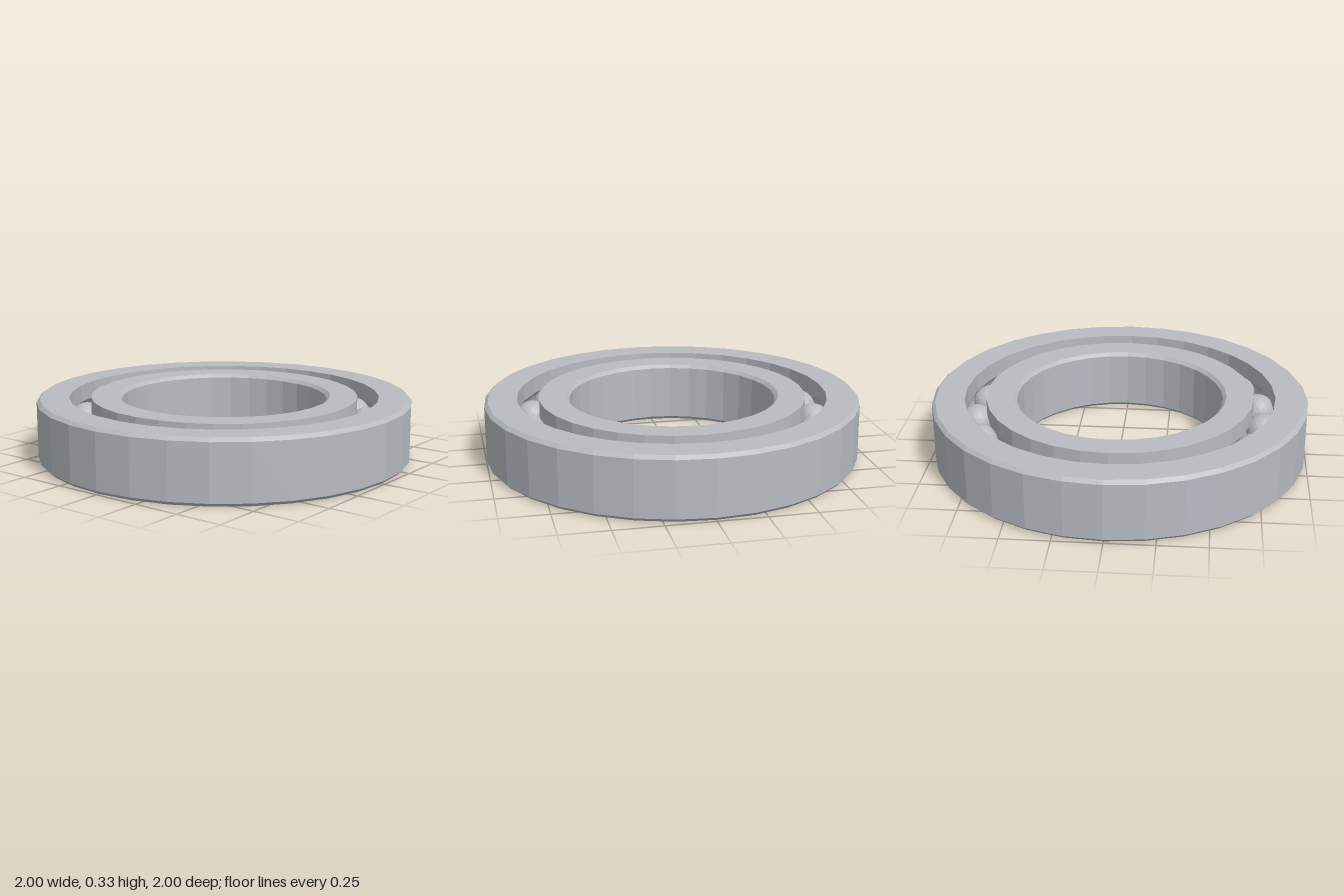
import * as THREE from 'three';

const HEIGHT = 0.33, MID = HEIGHT / 2, SIDES = 32;
const OUTER = 1, BORE = 0.55, CHAMFER = 0.018;
const OUTER_LIP = 0.827, INNER_LIP = 0.713;
const PITCH = 0.77, BALL = 0.09, BALLS = 19;

// Gives every triangle its own normal for a faceted look
function faceted(geometry) {
  const flat = geometry.index ? geometry.toNonIndexed() : geometry;
  flat.computeVertexNormals();
  return flat;
}

// Half-circle race cut into a ring wall at the given radius; dir is +1 or -1 in height
function groove(lip, dir) {
  const r = BALL + 0.003;
  const offset = lip - PITCH;
  const half = Math.acos(Math.abs(offset) / r);
  const points = [];
  for (let i = 0; i <= 8; i++) {
    const a = dir * half * (i / 4 - 1);
    points.push([PITCH + Math.sign(offset) * r * Math.cos(a), MID + r * Math.sin(a)]);
  }
  return points;
}

// Turns a closed, counter-clockwise [radius, height] profile
function ring(name, profile, material) {
  const points = [...profile, profile[0]].map(([r, y]) => new THREE.Vector2(r, y));
  const mesh = new THREE.Mesh(faceted(new THREE.LatheGeometry(points, SIDES)), material);
  mesh.name = name;
  return mesh;
}

export function createModel() {
  const model = new THREE.Group();
  model.name = 'ballBearing';
  const steel = new THREE.MeshStandardMaterial({ color: 0xb8bcc2 });
  steel.name = 'steel';

  // Outer ring, chamfered on its outside edges
  model.add(ring('outerRing', [
    [OUTER_LIP, 0], [OUTER - CHAMFER, 0], [OUTER, CHAMFER],
    [OUTER, HEIGHT - CHAMFER], [OUTER - CHAMFER, HEIGHT], [OUTER_LIP, HEIGHT],
    ...groove(OUTER_LIP, -1),
  ], steel));

  // Inner ring, chamfered around the bore
  model.add(ring('innerRing', [
    [BORE + CHAMFER, 0], [INNER_LIP, 0],
    ...groove(INNER_LIP, 1),
    [INNER_LIP, HEIGHT], [BORE + CHAMFER, HEIGHT],
    [BORE, HEIGHT - CHAMFER], [BORE, CHAMFER],
  ], steel));

  // Balls spaced evenly in the race
  const balls = new THREE.Group();
  balls.name = 'balls';
  const ballGeometry = faceted(new THREE.IcosahedronGeometry(BALL, 3));
  for (let i = 0; i < BALLS; i++) {
    const a = (i / BALLS) * Math.PI * 2;
    const ball = new THREE.Mesh(ballGeometry, steel);
    ball.name = 'ball';
    ball.position.set(PITCH * Math.cos(a), MID, PITCH * Math.sin(a));
    balls.add(ball);
  }
  model.add(balls);
  return model;
}
